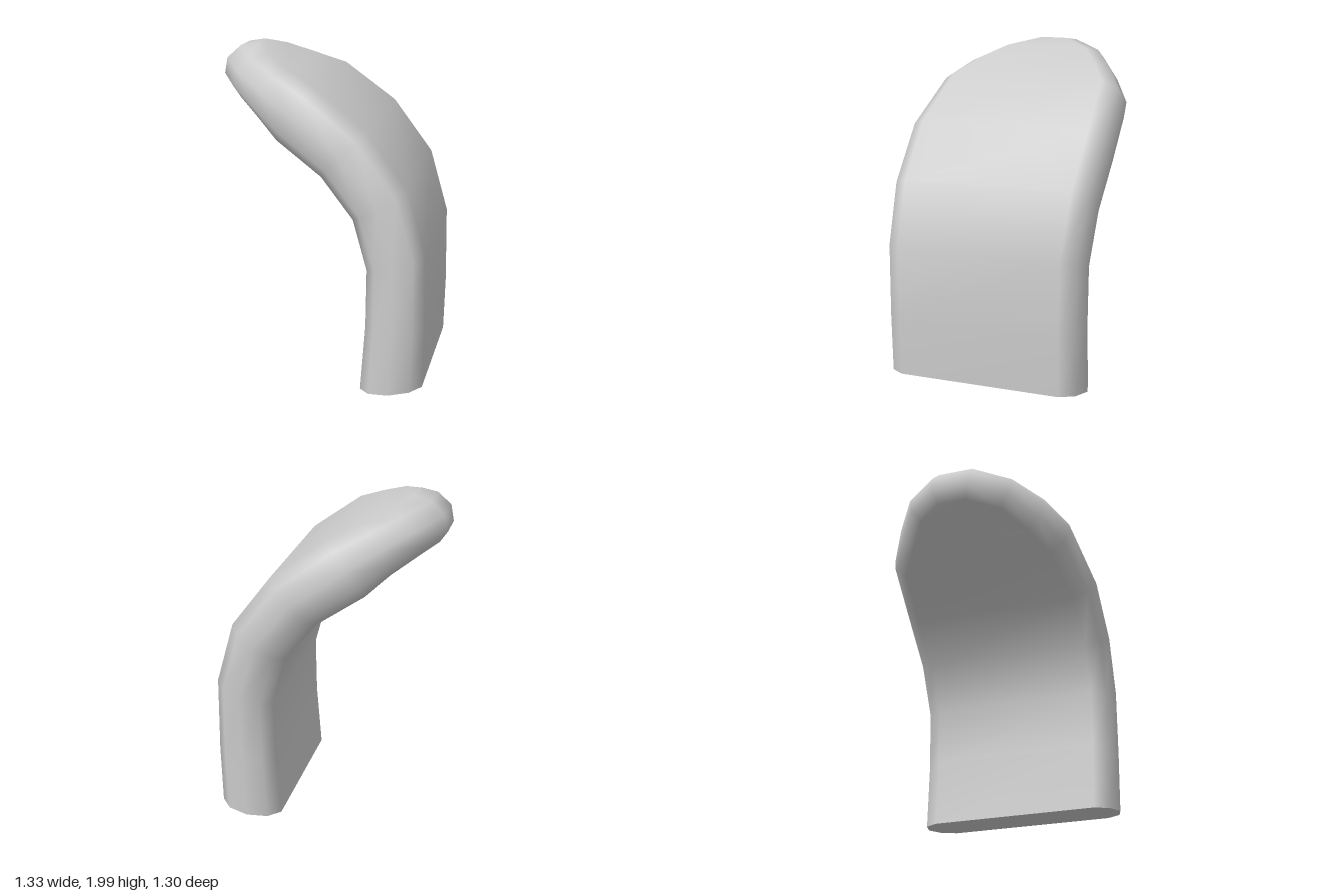
import * as THREE from 'three';

// Stations up the bent slab: inner face x,y, outer face x,y, left edge z, right edge z
const stations = [
  [0.27, 0.0, 0.645, 0.045, 0.65, -0.6],
  [0.30, 0.4, 0.655, 0.4, 0.65, -0.6],
  [0.305, 0.75, 0.65, 0.86, 0.65, -0.605],
  [0.22, 1.05, 0.54, 1.24, 0.645, -0.63],
  [0.02, 1.3, 0.29, 1.57, 0.63, -0.65],
  [-0.28, 1.5, -0.05, 1.82, 0.56, -0.625],
  [-0.44, 1.62, -0.26, 1.91, 0.45, -0.51],
  [-0.61, 1.72, -0.44, 1.985, 0.29, -0.38],
  [-0.732, 1.765, -0.576, 2.03, 0.06, -0.18],
];

// Rounded rim: inset from the outline, position through the thickness (-1 inner, 1 outer)
const rim = [[0.12, -1], [0.035, -0.65], [0, 0], [0.035, 0.65], [0.12, 1]];

function slabGeometry() {
  const centre = stations.map(s => new THREE.Vector2((s[0] + s[2]) / 2, (s[1] + s[3]) / 2));
  const last = stations.length - 1;
  const n = rim.length * 2;
  const pos = [], index = [];

  // Point on the rim of one side (column 4 = left, 5 = right)
  const rimPoint = (i, column, [inset, depth]) => {
    const s = stations[i];
    const a = Math.max(i - 1, 0), b = Math.min(i + 1, last);
    const along = centre[b].clone().sub(centre[a]);
    const nextZ = i === last ? stations[last][9 - column] : stations[b][column];
    const edge = new THREE.Vector2(along.length(), nextZ - stations[a][column]).normalize();
    const sign = column === 4 ? 1 : -1;
    const shift = i === 0 ? 0 : inset * sign * edge.y;
    along.normalize().multiplyScalar(shift);
    return [
      centre[i].x + depth * (s[2] - s[0]) / 2 + along.x,
      centre[i].y + depth * (s[3] - s[1]) / 2 + along.y,
      s[column] - sign * inset * edge.x,
    ];
  };
  const addRing = i => {
    rim.forEach(r => pos.push(...rimPoint(i, 4, r)));
    [...rim].reverse().forEach(r => pos.push(...rimPoint(i, 5, r)));
  };
  const quad = (a, b, c, d) => index.push(a, b, c, a, c, d);

  // Loft of the closed sections
  for (let i = 0; i <= last; i++) addRing(i);
  for (let i = 0; i < last; i++) {
    for (let j = 0; j < n; j++) {
      const k = (j + 1) % n;
      quad(i * n + j, i * n + k, (i + 1) * n + k, (i + 1) * n + j);
    }
  }
  // Rounded tip, and a base with its own vertices for a sharp edge
  addRing(0);
  const tip = last * n, base = (last + 1) * n;
  for (let k = 0; k < rim.length - 1; k++) {
    quad(tip + k, tip + k + 1, tip + n - 2 - k, tip + n - 1 - k);
    quad(base + n - 1 - k, base + n - 2 - k, base + k + 1, base + k);
  }

  const geometry = new THREE.BufferGeometry();
  geometry.setAttribute('position', new THREE.Float32BufferAttribute(pos, 3));
  geometry.setIndex(index);
  geometry.computeVertexNormals();
  return geometry;
}

export function createModel() {
  const group = new THREE.Group();
  const slab = new THREE.Mesh(slabGeometry(), new THREE.MeshStandardMaterial({ color: 0xcccccc }));
  slab.name = 'curvedSlab';
  group.add(slab);
  return group;
}
